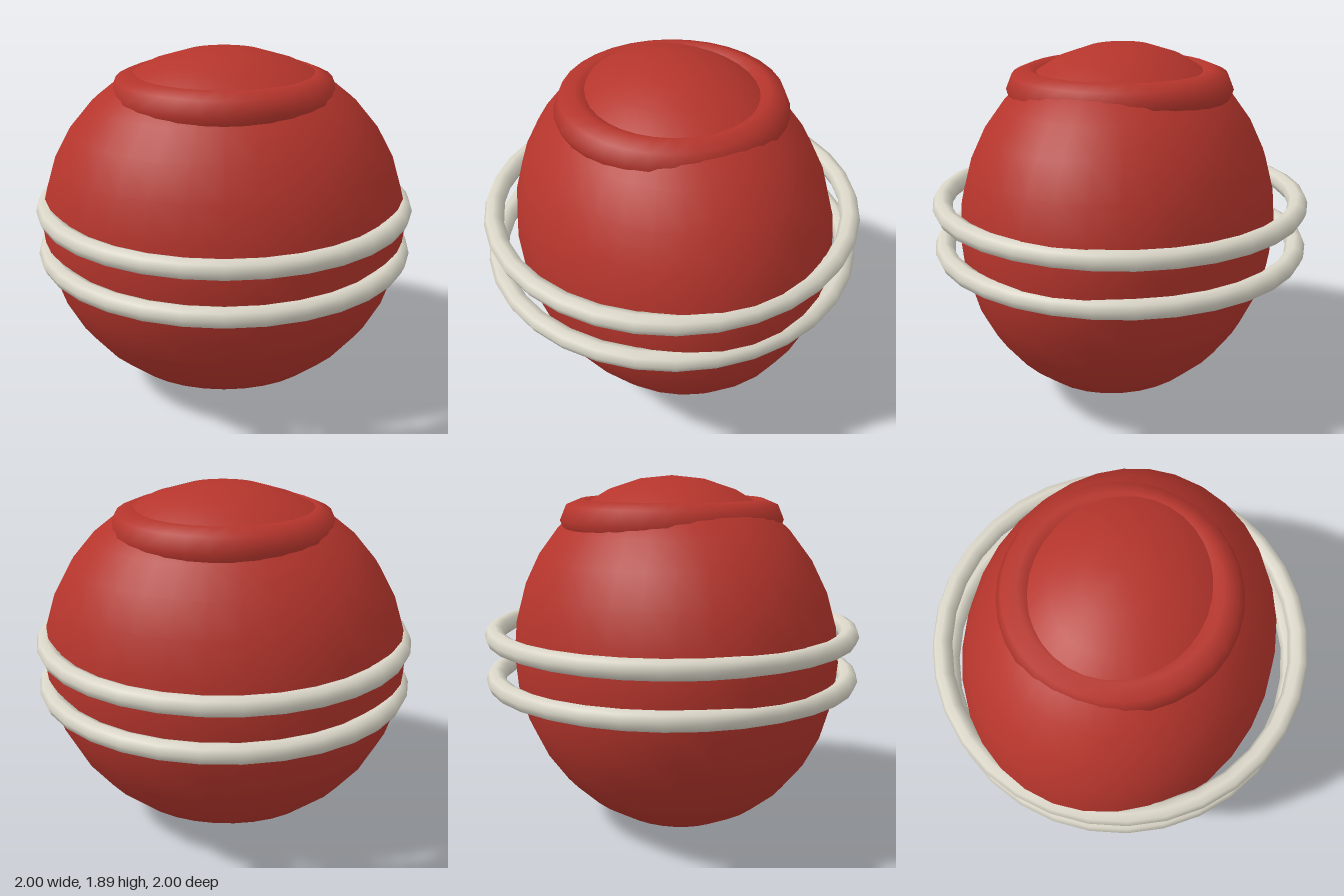
import * as THREE from 'three';

export function createModel() {
  const model = new THREE.Group();
  model.name = 'ornament';

  const red = new THREE.MeshStandardMaterial({ color: 0xb5352c });
  red.name = 'red';
  const ivory = new THREE.MeshStandardMaterial({ color: 0xd9d5c7 });
  ivory.name = 'ivory';

  // Adds a horizontal ring at height y
  function addRing(name, radius, tube, y, material) {
    const geometry = new THREE.TorusGeometry(radius, tube, 8, 32);
    geometry.rotateX(Math.PI / 2);
    const ring = new THREE.Mesh(geometry, material);
    ring.name = name;
    ring.position.y = y;
    model.add(ring);
  }

  // Body: ball flattened front to back
  const bodyGeometry = new THREE.SphereGeometry(1, 32, 16);
  bodyGeometry.scale(0.973, 0.946, 0.826);
  const body = new THREE.Mesh(bodyGeometry, red);
  body.name = 'body';
  body.position.y = 0.947;
  model.add(body);

  // Thick collar half sunk into the top
  addRing('collar', 0.48, 0.11, 1.665, red);

  // Pair of thin hoops around the middle
  addRing('upperHoop', 0.948, 0.052, 1.071, ivory);
  addRing('lowerHoop', 0.948, 0.052, 0.834, ivory);

  return model;
}
